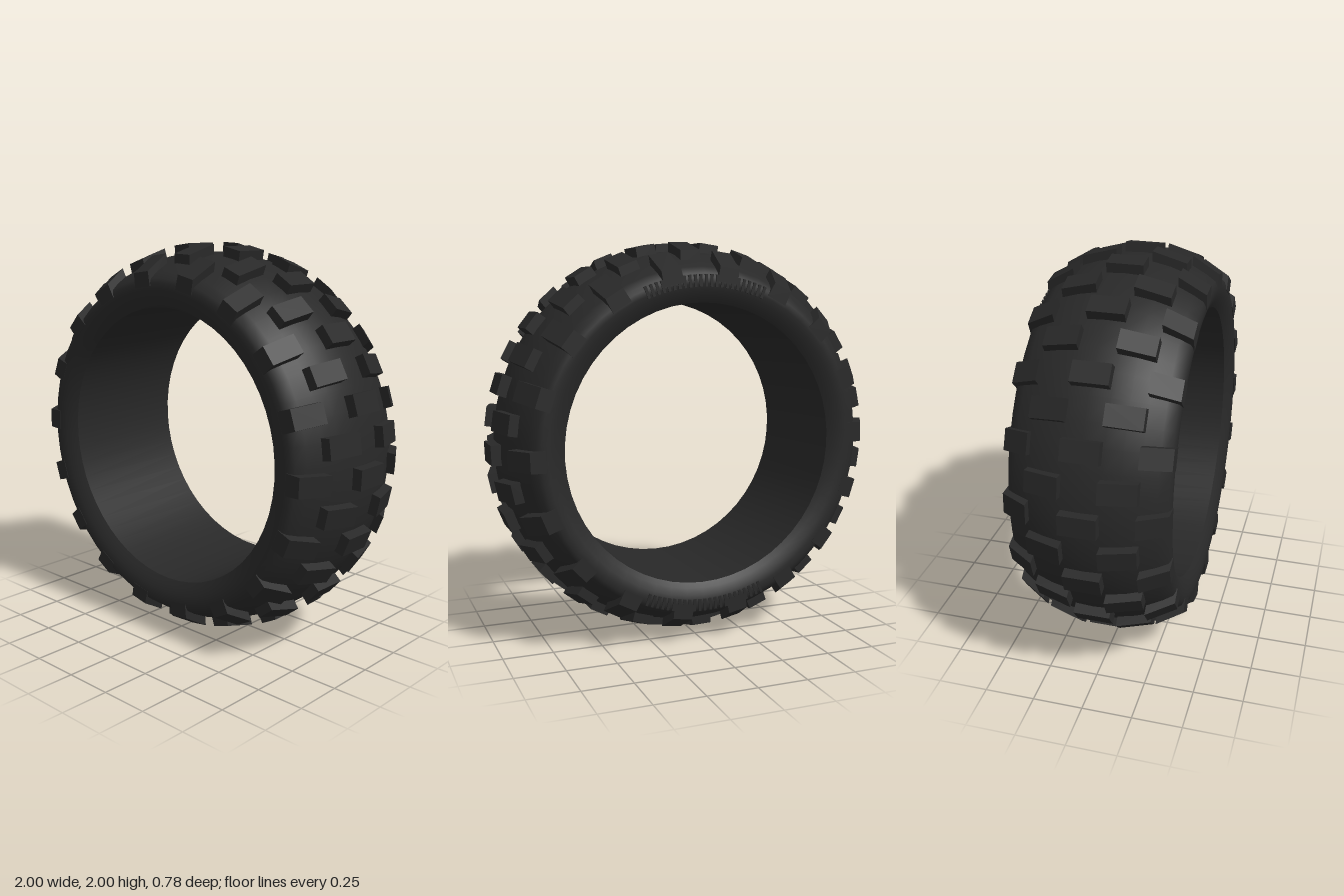
import * as THREE from 'three';
import { toCreasedNormals } from 'three/addons/utils/BufferGeometryUtils.js';

const rubber = new THREE.MeshStandardMaterial({ color: 0x282828 });
rubber.name = 'blackRubber';
const rad = THREE.MathUtils.degToRad;

// Closed ring: outer tread, rounded sidewalls, straight bore
function carcassGeometry() {
  const half = [ // [radius, z] from tread centre to bore edge
    [0.957, 0], [0.952, 0.1], [0.935, 0.18], [0.908, 0.26], [0.872, 0.33],
    [0.842, 0.375], [0.82, 0.385], [0.79, 0.385], [0.76, 0.378], [0.725, 0.362], [0.7, 0.345],
  ];
  const back = half.slice(1).reverse().map(([r, z]) => [r, -z]);
  const profile = [...back, ...half, back[0]].map(([r, z]) => new THREE.Vector2(r, z));
  const geo = new THREE.LatheGeometry(profile, 54);
  geo.rotateX(Math.PI / 2);
  return toCreasedNormals(geo, 0.6);
}

// Tread block whose top slopes from radius r0 (at z0) to r1 (at z1)
function knobGeometry(z0, z1, r0, r1, depth) {
  const geo = new THREE.BoxGeometry(1, 1, 1);
  const p = geo.attributes.position;
  for (let i = 0; i < p.count; i++) {
    const far = p.getZ(i) > 0;
    const top = p.getY(i) > 0;
    p.setXYZ(i, p.getX(i) * (top ? 0.1 : 0.106), (far ? r1 : r0) - (top ? 0 : depth), far ? z1 : z0);
  }
  geo.computeVertexNormals();
  return geo;
}

export function createModel() {
  const model = new THREE.Group();
  model.name = 'tyre';
  const wheel = new THREE.Group();
  wheel.name = 'tyreBody';
  wheel.position.y = 1;
  model.add(wheel);

  const add = (geo, name, degrees) => {
    const mesh = new THREE.Mesh(geo, rubber);
    mesh.name = name;
    mesh.rotation.z = -rad(degrees);
    wheel.add(mesh);
    return mesh;
  };

  add(carcassGeometry(), 'carcass', 0);

  // Tread: centre and shoulder blocks alternate with intermediate blocks
  const centre = knobGeometry(-0.09, 0.09, 1, 1, 0.08);
  const middle = [knobGeometry(0.09, 0.26, 1, 0.953, 0.08), knobGeometry(-0.26, -0.09, 0.953, 1, 0.08)];
  const shoulder = [knobGeometry(0.255, 0.39, 0.955, 0.875, 0.075), knobGeometry(-0.39, -0.255, 0.875, 0.955, 0.075)];
  for (let i = 0; i < 18; i++) {
    const a = i * 20;
    add(centre, 'centreKnob', a + 12);
    shoulder.forEach((g) => add(g, 'shoulderKnob', a + 12));
    middle.forEach((g) => add(g, 'middleKnob', a + 2));
  }

  // Fine raised ribs on the back sidewall, at top and bottom
  const rib = new THREE.BoxGeometry(0.014, 0.06, 0.012);
  rib.translate(0, 0.805, -0.384);
  for (const base of [0, 180]) {
    for (let a = -22; a <= 22; a += 2) add(rib, 'sidewallRib', base + a);
  }
  return model;
}
